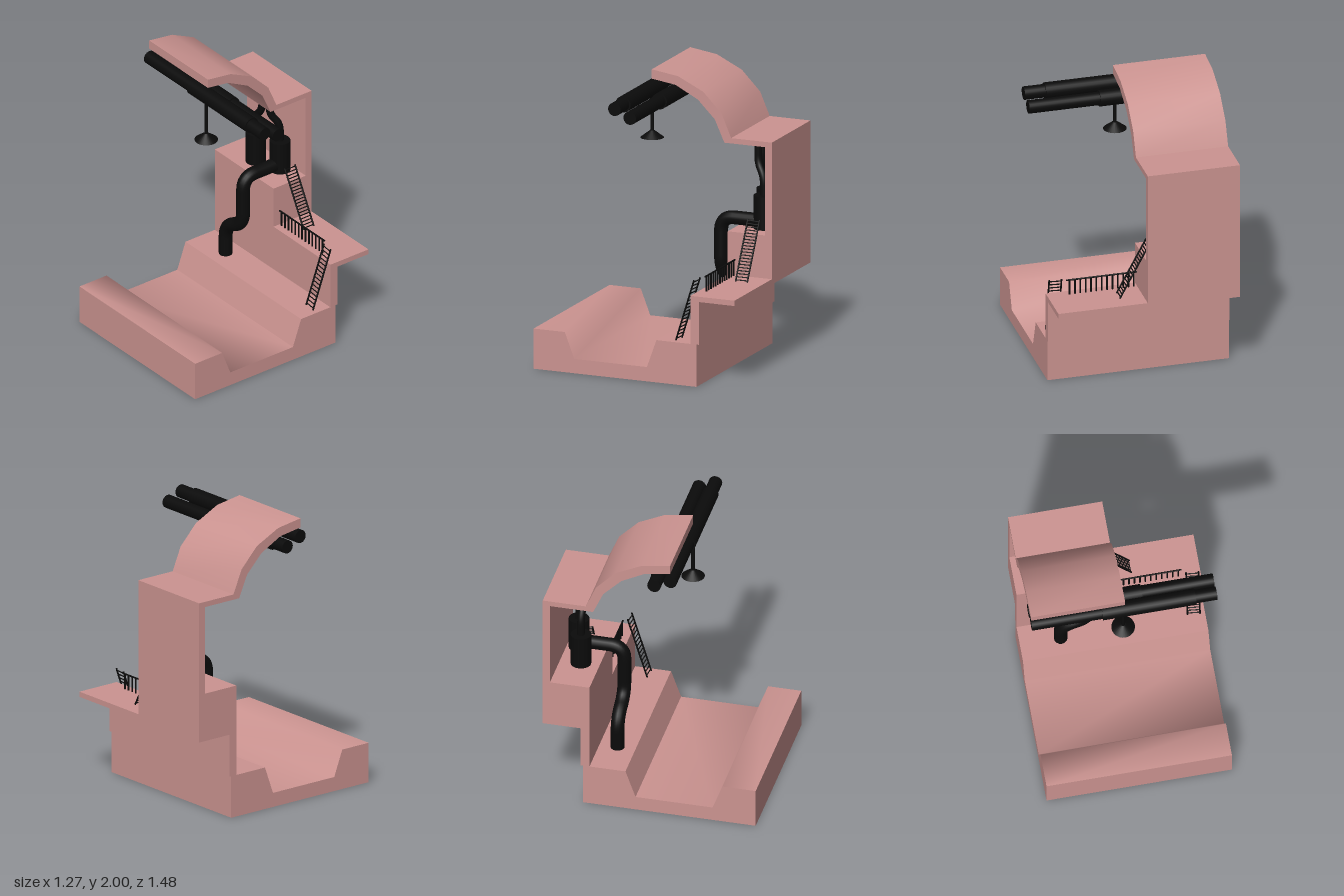
import * as THREE from 'three';
import { toCreasedNormals } from 'three/addons/utils/BufferGeometryUtils.js';

const pink = new THREE.MeshStandardMaterial({ color: 0xcc9491 });
const black = new THREE.MeshStandardMaterial({ color: 0x0b0b0b });
const V = (x, y, z) => new THREE.Vector3(x, y, z);

function add(parent, name, geometry, material) {
  const mesh = new THREE.Mesh(geometry, material);
  mesh.name = name;
  parent.add(mesh);
  return mesh;
}

// A side profile of [z, y] points, extruded from x0 to x1
function profile(parent, name, points, x0, x1, crease) {
  const shape = new THREE.Shape(points.map(([z, y]) => new THREE.Vector2(z, y)));
  const geo = new THREE.ExtrudeGeometry(shape, { depth: x1 - x0, bevelEnabled: false });
  geo.rotateY(-Math.PI / 2).translate(x1, 0, 0);
  return add(parent, name, toCreasedNormals(geo, crease), pink);
}

// A round bar between two points
function bar(parent, name, a, b, radius, sides = 8) {
  const dir = b.clone().sub(a);
  const mesh = add(parent, name, new THREE.CylinderGeometry(radius, radius, dir.length(), sides), black);
  mesh.position.copy(a).add(b).multiplyScalar(0.5);
  mesh.quaternion.setFromUnitVectors(V(0, 1, 0), dir.normalize());
  return mesh;
}

// A pipe along corner points, each corner rounded over the given distance
function bentPipe(parent, name, pts, radius, bend) {
  const path = new THREE.CurvePath();
  let last = pts[0];
  for (let i = 1; i < pts.length - 1; i++) {
    const p = pts[i];
    const toward = (q) => p.clone().add(q.clone().sub(p).setLength(Math.min(bend, p.distanceTo(q) * 0.48)));
    const a = toward(pts[i - 1]), b = toward(pts[i + 1]);
    path.add(new THREE.LineCurve3(last, a));
    path.add(new THREE.QuadraticBezierCurve3(a, p, b));
    last = b;
  }
  path.add(new THREE.LineCurve3(last, pts[pts.length - 1]));
  return add(parent, name, new THREE.TubeGeometry(path, 64, radius, 16), black);
}

// A ladder from bottom to top centre, with rails set apart by the half width vector
function ladder(parent, name, bottom, top, half, rungs) {
  const group = new THREE.Group();
  group.name = name;
  for (const s of [-1, 1]) {
    const off = half.clone().multiplyScalar(s);
    bar(group, 'ladderRail', bottom.clone().add(off), top.clone().add(off), 0.006);
  }
  for (let i = 0; i < rungs; i++) {
    const c = bottom.clone().lerp(top, (i + 0.5) / rungs);
    bar(group, 'ladderRung', c.clone().sub(half), c.clone().add(half), 0.004, 6);
  }
  parent.add(group);
}

export function createModel() {
  const model = new THREE.Group();
  model.name = 'pipeStation';
  const W = 0.635, MID = 0.01;

  // Base with a sunken trench
  profile(model, 'base', [
    [0.74, 0], [0.74, 0.28], [0.51, 0.28], [0.44, 0.1], [-0.095, 0.1],
    [-0.165, 0.295], [-0.46, 0.295], [-0.46, 0],
  ], -W, W, 1.21);

  // Retaining wall and walkway slab
  profile(model, 'walkway', [
    [-0.415, 0.295], [-0.415, 0.63], [-0.74, 0.63], [-0.74, 0.593],
    [-0.477, 0.593], [-0.477, 0.295],
  ], MID, W, 0.5);

  // Tower: plinth, back wall and flat ceiling
  profile(model, 'tower', [
    [-0.415, 0.295], [-0.415, 0.93], [-0.69, 0.93], [-0.69, 1.545], [-0.39, 1.545],
    [-0.44, 1.582], [-0.74, 1.582], [-0.74, 0.593], [-0.477, 0.593], [-0.477, 0.295],
  ], -W, MID, 0.5);

  // Curved canopy
  profile(model, 'canopy', [
    [0.145, 2], [-0.05, 1.972], [-0.235, 1.883], [-0.37, 1.745], [-0.44, 1.582],
    [-0.39, 1.545], [-0.32, 1.7], [-0.195, 1.825], [-0.03, 1.91], [0.145, 1.935],
  ], -W, MID, 0.6);

  // Overhead pipes with wider sleeves
  for (const [y, z, s0, s1] of [[1.87, 0.145, -0.15, 0.49], [1.82, 0.032, -0.49, 0.14]]) {
    bar(model, 'overheadPipe', V(-W, y, z), V(W, y, z), 0.046, 24);
    bar(model, 'overheadPipeSleeve', V(s0, y, z), V(s1, y, z), 0.056, 24);
  }

  // Hanging lamp
  bar(model, 'lampRod', V(-0.005, 1.55, 0.148), V(-0.005, 1.86, 0.148), 0.013, 12);
  add(model, 'lampShade', new THREE.CylinderGeometry(0.015, 0.08, 0.05, 24), black)
    .position.set(-0.005, 1.548, 0.148);

  // Tanks, each fed from the ceiling by a bent pipe
  for (const [x, z, topX] of [[-0.352, -0.545, -0.28], [-0.163, -0.605, -0.203]]) {
    bar(model, 'tank', V(x, 0.93, z), V(x, 1.163, z), 0.07, 24);
    bentPipe(model, 'feedPipe', [
      V(topX, 1.545, -0.545), V(topX, 1.37, -0.545), V(x, 1.29, z), V(x, 1.15, z),
    ], 0.026, 0.06);
  }

  // Large drain pipe down to the base
  bentPipe(model, 'drainPipe', [
    V(-0.163, 0.983, -0.6), V(-0.163, 0.983, -0.29), V(-0.163, 0.61, -0.29),
    V(-0.355, 0.525, -0.29), V(-0.355, 0.295, -0.29),
  ], 0.047, 0.1);

  // Walkway railing
  const railing = new THREE.Group();
  railing.name = 'railing';
  model.add(railing);
  bar(railing, 'handrail', V(MID, 0.737, -0.467), V(0.505, 0.737, -0.467), 0.006);
  for (let i = 0; i < 13; i++) {
    const x = 0.032 + i * 0.0375;
    bar(railing, 'railingPost', V(x, 0.63, -0.467), V(x, 0.737, -0.467), 0.006);
  }

  // Ladders: walkway to tower, base to walkway
  ladder(model, 'upperLadder', V(0.175, 0.635, -0.588), V(-0.033, 1.02, -0.588), V(0, 0, 0.043), 20);
  ladder(model, 'lowerLadder', V(0.558, 0.3, -0.297), V(0.573, 0.735, -0.437), V(0.042, 0, 0.004), 16);

  return model;
}
